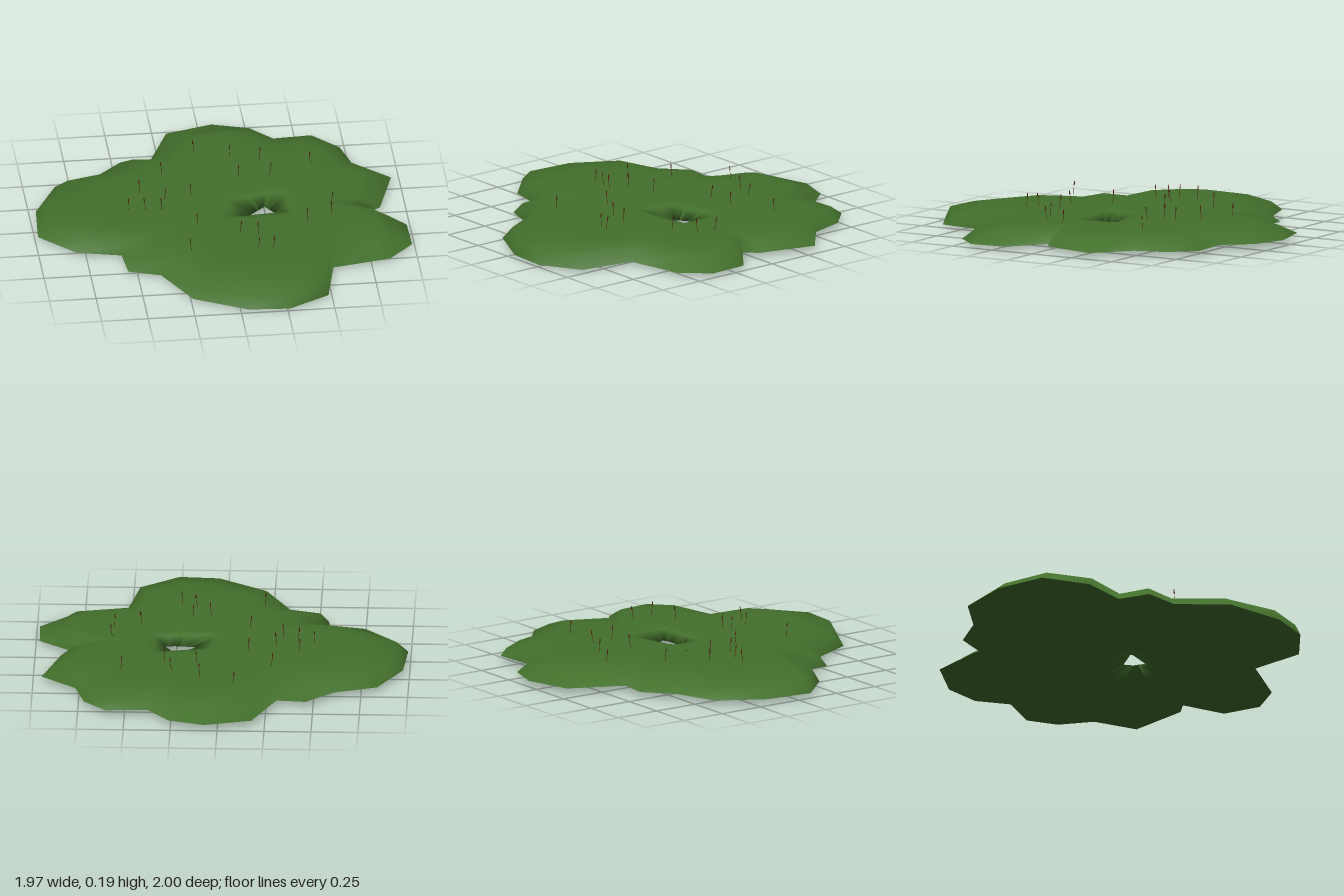
import * as THREE from 'three';

// Lobed outline seen from above, clockwise from the back: [x, z, width of the sloping edge]
const OUTLINE = [
  [0.07, -1, 0.14], [0.26, -0.94, 0.08], [0.38, -0.79, 0.05], [0.6, -0.805, 0.06], [0.72, -0.68, 0.07],
  [0.77, -0.49, 0.05], [0.955, -0.33, 0.09], [0.86, -0.02, 0.06], [0.79, 0.03, 0.04], [0.98, 0.18, 0.1],
  [0.985, 0.39, 0.13], [0.85, 0.53, 0.08], [0.54, 0.59, 0.05], [0.48, 0.88, 0.06], [0.26, 1, 0.03],
  [0.04, 0.985, 0.03], [-0.24, 0.84, 0.06], [-0.38, 0.57, 0.05], [-0.55, 0.51, 0.05], [-0.565, 0.335, 0.05],
  [-0.8, 0.28, 0.05], [-0.985, 0.09, 0.06], [-0.965, -0.18, 0.06], [-0.835, -0.43, 0.07],
  [-0.61, -0.51, 0.08], [-0.46, -0.65, 0.08], [-0.305, -0.635, 0.06], [-0.18, -0.93, 0.11],
];
// Opening, and the lip where the top begins to sink towards it
const HOLE = [[0.245, -0.05], [0.315, 0.065], [0.14, 0.05]];
const LIP = [[0.06, -0.07], [0.36, -0.13], [0.37, 0.09], [0.04, 0.12]];
const CENTRE = [0.235, 0.02];

const STALKS = [
  [-0.07, -0.59], [0.11, -0.51], [0.26, -0.44], [0.53, -0.4], [-0.27, -0.35], [0.13, -0.29], [0.3, -0.29],
  [-0.41, -0.16], [-0.14, -0.12], [-0.29, -0.07], [-0.49, 0], [-0.4, 0.015], [-0.32, 0.04], [0.59, 0.06],
  [0.58, 0.17], [-0.14, 0.2], [0.44, 0.23], [0.07, 0.33], [0.17, 0.34], [-0.21, 0.49], [0.15, 0.48], [0.23, 0.51],
];

// Distance from the centre to a convex polygon's edge along a direction
function edgeDistance(polygon, dx, dz) {
  let best = Infinity;
  polygon.forEach(([ax, az], i) => {
    const [bx, bz] = polygon[(i + 1) % polygon.length];
    const nx = bz - az, nz = ax - bx;
    const along = nx * dx + nz * dz;
    if (along > 1e-6) best = Math.min(best, (nx * (ax - CENTRE[0]) + nz * (az - CENTRE[1])) / along);
  });
  return best;
}

// Cross-section swept round the hole; it starts and ends at the rim, which stays sharp
function matGeometry() {
  const count = OUTLINE.length;
  const sections = OUTLINE.map(([x, z, slope]) => {
    const r = Math.hypot(x - CENTRE[0], z - CENTRE[1]);
    const dx = (x - CENTRE[0]) / r, dz = (z - CENTRE[1]) / r;
    const hole = edgeDistance(HOLE, dx, dz), lip = edgeDistance(LIP, dx, dz);
    const swell = 0.018 * THREE.MathUtils.clamp((r - 0.6) / 0.45, 0, 1);
    const rimY = 0.025 - 0.01 * z;
    // the underside slants more at the back right
    const undercut = 0.88 - 0.08 * THREE.MathUtils.clamp(-x - z, 0, 1);
    const profile = [
      [r, rimY],
      [r - slope, 0.07 + swell / 2],
      [r * 0.78, 0.096 + swell],
      [r * 0.56, 0.1 + swell / 2],
      [lip + 0.06, 0.104],
      [lip, 0.096],
      [hole, 0.052],
      [lip + 0.04, 0.024],
      [r * 0.55, 0.017],
      [r * undercut, 0.018],
      [r, rimY],
    ];
    return profile.map(([d, y], k) => {
      const px = CENTRE[0] + dx * d, pz = CENTRE[1] + dz * d;
      // the underside sags a little towards the back right
      const sag = k > 6 ? 0.016 * Math.exp(-((px + 0.28) ** 2 + (pz + 0.22) ** 2) / 0.06) : 0;
      return [px, y - sag, pz];
    });
  });
  const rings = sections[0].length;
  const index = [];
  for (let i = 0; i < count; i++) {
    for (let k = 0; k < rings - 1; k++) {
      const a = i * rings + k, b = ((i + 1) % count) * rings + k;
      index.push(a, a + 1, b, b, a + 1, b + 1);
    }
  }
  const geometry = new THREE.BufferGeometry();
  geometry.setAttribute('position', new THREE.Float32BufferAttribute(sections.flat(2), 3));
  geometry.setIndex(index);
  geometry.computeVertexNormals();
  geometry.computeBoundingBox();
  geometry.translate(0, -geometry.boundingBox.min.y, 0);
  return geometry;
}

export function createModel() {
  const moss = new THREE.MeshStandardMaterial({ name: 'moss green', color: 0x43702c });
  const brown = new THREE.MeshStandardMaterial({ name: 'stalk red-brown', color: 0x581c10 });
  const model = new THREE.Group();
  model.name = 'mossPatch';

  const mat = new THREE.Mesh(matGeometry(), moss);
  mat.name = 'mossMat';
  model.add(mat);

  // Hair-thin stalks with slightly thicker spore tips
  const stemGeometry = new THREE.CylinderGeometry(0.001, 0.0014, 0.06, 5);
  const tipGeometry = new THREE.CylinderGeometry(0.002, 0.0035, 0.022, 5);
  STALKS.forEach(([x, z], i) => {
    const stalk = new THREE.Group();
    stalk.name = 'sporeStalk';
    const stem = new THREE.Mesh(stemGeometry, brown);
    stem.name = 'stem';
    stem.position.y = 0.03;
    const tip = new THREE.Mesh(tipGeometry, brown);
    tip.name = 'sporeTip';
    tip.position.y = 0.063;
    stalk.add(stem, tip);
    stalk.position.set(x, 0.1 + 0.018 * ((i * 7) % 5) / 4, z);
    stalk.rotation.set(0.12 * Math.sin(i * 2.3), 0, 0.12 * Math.cos(i * 1.7));
    model.add(stalk);
  });
  return model;
}
